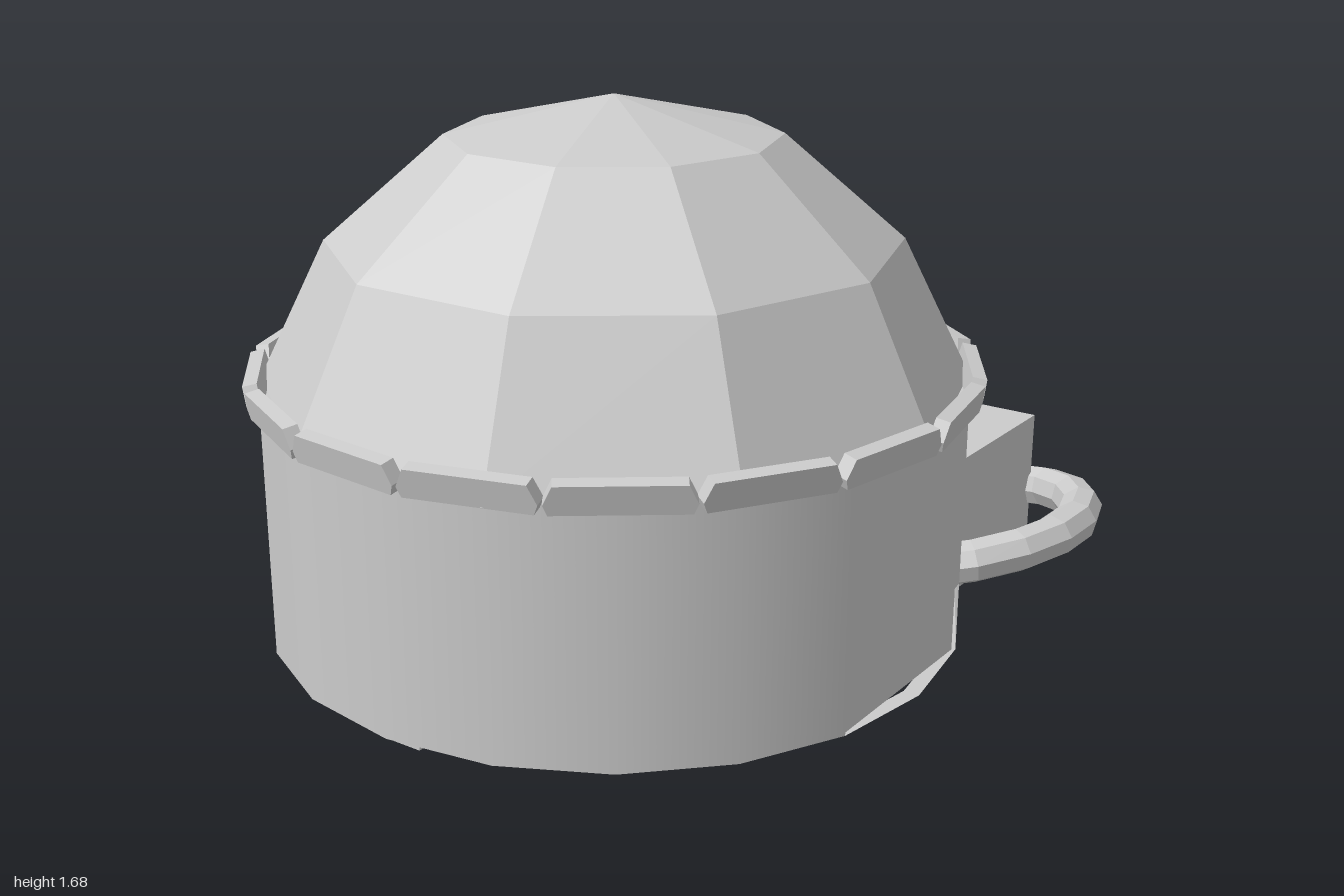
import * as THREE from 'three';

const CX = -0.05, CZ = 0.11, DEG = Math.PI / 180;

export function createModel() {
  const model = new THREE.Group();
  model.name = 'turret';
  const smooth = new THREE.MeshStandardMaterial({ color: 0xcccccc, side: THREE.DoubleSide });
  const flat = new THREE.MeshStandardMaterial({ color: 0xcccccc, side: THREE.DoubleSide, flatShading: true });

  const add = (name, geometry, material = flat, parent = model) => {
    const mesh = new THREE.Mesh(geometry, material);
    mesh.name = name;
    parent.add(mesh);
    return mesh;
  };
  // Box given by its limits on each axis
  const box = (name, x0, x1, y0, y1, z0, z1) => {
    const mesh = add(name, new THREE.BoxGeometry(x1 - x0, y1 - y0, z1 - z0));
    mesh.position.set((x0 + x1) / 2, (y0 + y1) / 2, (z0 + z1) / 2);
    return mesh;
  };
  // Open band around the turret axis, angles in degrees from +z towards +x
  const band = (name, rTop, rBottom, y0, y1, sides, start, sweep, material) => {
    const g = new THREE.CylinderGeometry(rTop, rBottom, y1 - y0, sides, 1, true, start * DEG, sweep * DEG);
    return add(name, g.translate(CX, (y0 + y1) / 2, CZ), material);
  };

  // Faceted dome with an open hatch of two panels at the back
  band('domeCap', 0, 0.405, 1.59, 1.685, 10, 90, 360, flat);
  band('domeMiddle', 0.405, 0.7, 1.335, 1.59, 8, 198, 288, flat);
  band('domeLower', 0.7, 0.88, 0.975, 1.335, 10, 90, 360, flat);

  // Drum wall, inside and out, with a notch on the +x side
  for (const [name, r] of [['drumOuterWall', 0.87], ['drumInnerWall', 0.83]]) {
    band(name, r, r, 0.545, 0.99, 20, 0, 360, smooth);
    band(name + 'Lower', r, r, 0.37, 0.545, 18, 108, 324, smooth);
  }
  for (const [name, y] of [['drumBottomEdge', 0.37], ['drumTopEdge', 0.99]]) {
    const ring = new THREE.RingGeometry(0.83, 0.87, 20);
    add(name, ring.rotateX(Math.PI / 2).translate(CX, y, CZ));
  }
  box('notchPanel', 0.735, 0.77, 0.37, 0.545, -0.152, 0.375);

  // Padded rim of separate tapering bars, leaning slightly outwards
  const rim = new THREE.Group();
  rim.name = 'rim';
  rim.position.set(CX, 1.01, CZ);
  model.add(rim);
  const barShape = new THREE.Shape([
    [-0.15, -0.035], [0.15, -0.035], [0.16, -0.01], [0.14, 0.035], [-0.14, 0.035], [-0.16, -0.01],
  ].map(([x, y]) => new THREE.Vector2(x, y)));
  const bar = new THREE.ExtrudeGeometry(barShape, { depth: 0.035, bevelEnabled: false });
  bar.translate(0, 0, -0.02).rotateX(0.2).translate(0, 0, 0.87);
  const BARS = 17;
  for (let i = 0; i < BARS; i++) {
    add('rimBar', bar, flat, rim).rotation.y = 5.2 * DEG + (i + 0.5) * 2 * Math.PI / BARS;
  }

  // Rear box and the bent hoop around it
  box('rearBox', 0.1, 0.62, 0.375, 0.735, -0.9, -0.37);
  const hoop = new THREE.TorusGeometry(0.37, 0.055, 8, 14, 267 * DEG);
  hoop.rotateZ(-122 * DEG).rotateX(Math.PI / 2).rotateZ(0.2);
  add('hoop', hoop, flat).position.set(0.51, 0.5, -0.58);

  // Hanging mount: middle block and a pair of legs, feet and side blocks
  box('middleBlock', -0.06, 0.085, 0.155, 0.45, 0.0, 0.26);
  const legShape = new THREE.Shape([
    [-0.5, 0.45], [-0.53, 0.3], [-0.5, 0.2], [-0.42, 0.12], [-0.3, 0.0],
    [-0.15, 0.05], [-0.03, 0.175], [0.0, 0.3], [0.0, 0.45],
  ].map(([x, y]) => new THREE.Vector2(x, y)));
  for (const side of [1, -1]) {
    const leg = new THREE.ExtrudeGeometry(legShape, { depth: 1, bevelEnabled: false });
    const p = leg.attributes.position;
    // Taper the leg inwards towards its foot
    for (let i = 0; i < p.count; i++) {
      const t = Math.min(p.getY(i) / 0.2, 1);
      const inner = 0.07 - 0.05 * t, outer = 0.22 + 0.06 * t;
      p.setZ(i, p.getZ(i) * (outer - inner) + inner);
    }
    leg.computeVertexNormals();
    const mesh = add('leg', leg);
    mesh.position.z = CZ;
    mesh.scale.z = side;
    const foot = add('foot', new THREE.BoxGeometry(0.3, 0.06, 0.1));
    foot.position.set(-0.42, 0.058, CZ + side * 0.18);
    foot.rotation.z = 0.06;
    const block = box('sideBlock', -0.33, -0.23, 0.148, 0.48, -0.16, 0.16);
    block.position.z = CZ + side * 0.41;
  }
  return model;
}
